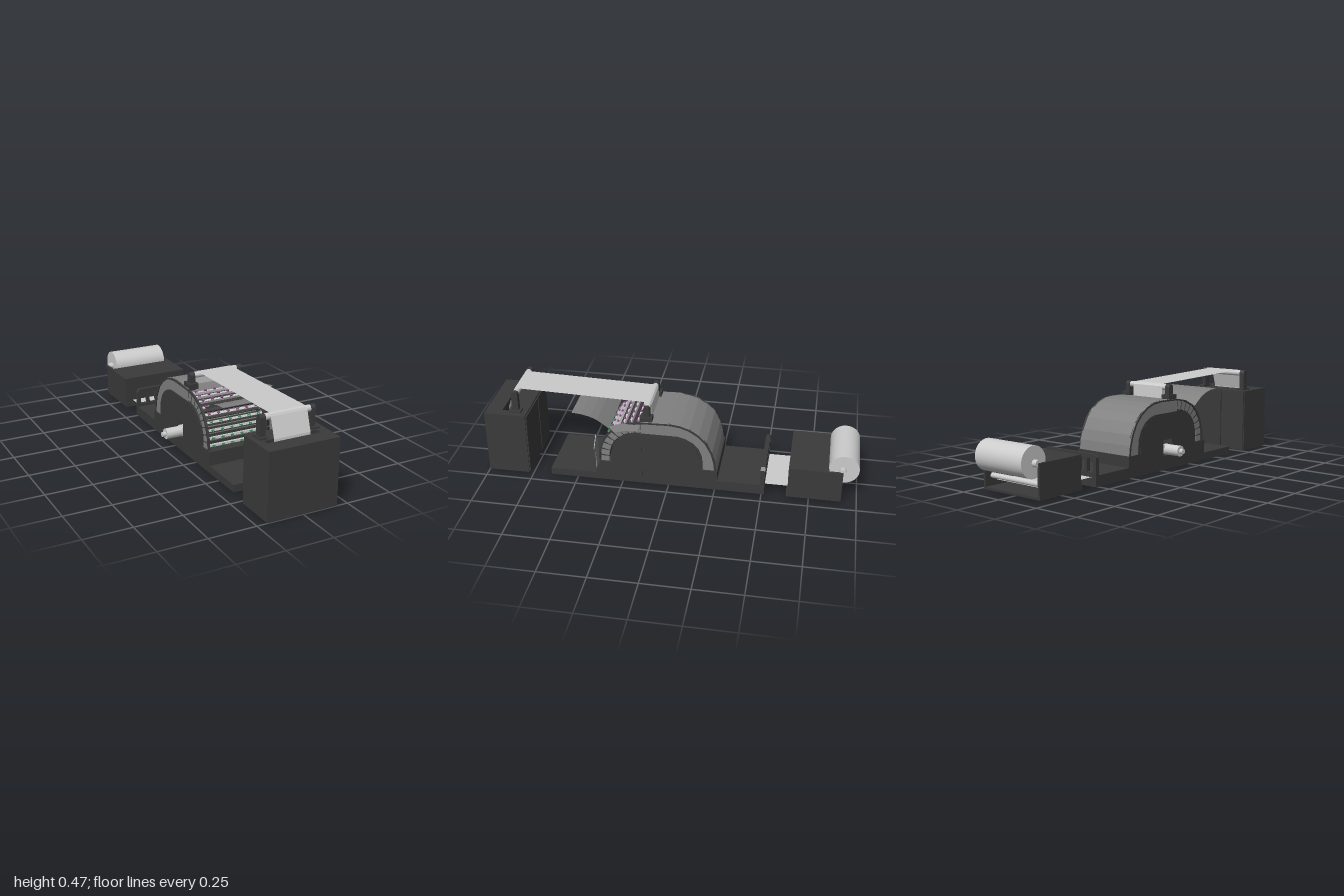
import * as THREE from 'three';

const mat = (color) => new THREE.MeshStandardMaterial({ color, side: THREE.DoubleSide, flatShading: true });

export function createModel() {
  const root = new THREE.Group();
  const dark = mat(0x3a3a3a), grey = mat(0xcccccc), smoke = mat(0x808080);
  const purple = mat(0x9a4a9a), green = mat(0x2f9a55);
  const smooth = new THREE.MeshStandardMaterial({ color: 0xcccccc });

  const add = (name, geo, m) => {
    const mesh = new THREE.Mesh(geo, m);
    mesh.name = name;
    root.add(mesh);
    return mesh;
  };
  // box from its limits
  const box = (name, x0, x1, y0, y1, z0, z1, m = dark) => {
    const b = add(name, new THREE.BoxGeometry(x1 - x0, y1 - y0, z1 - z0), m);
    b.position.set((x0 + x1) / 2, (y0 + y1) / 2, (z0 + z1) / 2);
    return b;
  };
  // cylinder lying along x
  const rod = (name, x0, x1, y, z, r, m = smooth, n = 28) => {
    const c = add(name, new THREE.CylinderGeometry(r, r, x1 - x0, n).rotateZ(Math.PI / 2), m);
    c.position.set((x0 + x1) / 2, y, z);
    return c;
  };
  const shapeOf = (pts) => new THREE.Shape(pts.map(([a, b]) => new THREE.Vector2(a, b)));
  const rectPath = (x0, x1, y0, y1) => shapeOf([[x0, y0], [x1, y0], [x1, y1], [x0, y1]]);
  // side profile (z, y) extruded from x0 to x1
  const slab = (name, shape, x0, x1, m = dark) => {
    const g = new THREE.ExtrudeGeometry(shape, { depth: x1 - x0, bevelEnabled: false, curveSegments: 10 });
    return add(name, g.rotateY(-Math.PI / 2).translate(x1, 0, 0), m);
  };
  // thin sheet following a (z, y) path
  const sheet = (name, pts, x0, x1, m) => {
    const g = new THREE.PlaneGeometry(1, 1, 1, pts.length - 1), p = g.attributes.position;
    pts.forEach(([z, y], i) => {
      p.setXYZ(2 * i, x0, y, z);
      p.setXYZ(2 * i + 1, x1, y, z);
    });
    g.computeVertexNormals();
    return add(name, g, m);
  };
  // upright bracket with a rounded top
  const post = (name, x0, x1, y0, top, z, r) => {
    const s = new THREE.Shape();
    s.moveTo(z + r, y0);
    s.lineTo(z + r, top - r);
    s.absarc(z, top - r, r, 0, Math.PI, false);
    s.lineTo(z - r, y0);
    slab(name, s, x0, x1);
  };

  // front collecting bin with a slot in its top
  const binTop = rectPath(-0.195, 0.19, -1, -0.775);
  binTop.holes.push(rectPath(-0.15, 0.14, -0.912, -0.88));
  add('frontBin', new THREE.ExtrudeGeometry(binTop, { depth: 0.34, bevelEnabled: false })
    .rotateX(-Math.PI / 2).translate(0, 0.018, 0), dark);
  box('frontBinBottom', -0.195, 0.19, 0.004, 0.018, 0.775, 1);
  for (const [a, b] of [[-0.19, -0.04], [-0.03, 0.185]]) box('frontBinBackPanel', a, b, 0.01, 0.35, 0.768, 0.775);

  // guide rollers and their brackets
  for (const [a, b, s] of [[-0.157, -0.127, -1], [0.12, 0.145, 1]]) {
    post('frontRollerPost', a, b, 0.35, 0.475, 0.838, 0.018);
    box('frontPostFoot', s < 0 ? -0.165 : 0.12, s < 0 ? -0.125 : 0.16, 0.355, 0.368, 0.805, 0.87);
  }
  rod('frontRoller', -0.13, 0.122, 0.457, 0.838, 0.017);
  for (const [a, b] of [[-0.15, -0.122], [0.128, 0.154]]) {
    post('topRollerPost', a, b, 0.36, 0.456, 0.122, 0.018);
    box('topPostFoot', a - 0.012, b + 0.012, 0.37, 0.4, 0.09, 0.155);
  }
  rod('topRoller', -0.125, 0.13, 0.438, 0.122, 0.016);

  // web of paper over the rollers
  sheet('paperWeb', [[0.1, 0.375], [0.104, 0.442], [0.112, 0.453], [0.122, 0.456], [0.838, 0.475],
    [0.85, 0.471], [0.856, 0.46], [0.89, 0.36], [0.895, 0.2]], -0.102, 0.097, grey);

  // base with stepped ends
  const X0 = -0.175, X1 = 0.183;
  slab('baseFront', shapeOf([[0.3, 0.003], [0.65, 0.003], [0.65, 0.043], [0.4, 0.043], [0.4, 0.118], [0.3, 0.118]]), X0, X1);
  slab('baseRear', shapeOf([[-0.17, 0.003], [-0.17, 0.118], [-0.262, 0.118], [-0.262, 0.06], [-0.515, 0.06], [-0.515, 0.003]]), X0, X1);

  // slotted guide gate at the back of the base
  const gate = rectPath(X0, X1, 0.055, 0.15);
  const gateTop = shapeOf([[X0, 0.055], [X1, 0.055], [X1, 0.15], [X1 - 0.015, 0.166], [X0 + 0.015, 0.166], [X0, 0.15]]);
  for (let i = 0; i < 6; i++) gateTop.holes.push(rectPath(X0 + 0.02 + i * 0.055, X0 + 0.06 + i * 0.055, 0.075, 0.145));
  add('guideGate', new THREE.ExtrudeGeometry(gateTop, { depth: 0.024, bevelEnabled: false }).translate(0, 0, -0.515), dark);

  // arched housing: outer and inner outlines as (z, y)
  const outerRear = [[0.15, 0.376], [0.0, 0.38], [-0.06, 0.373], [-0.11, 0.357], [-0.16, 0.325],
    [-0.2, 0.285], [-0.232, 0.225], [-0.248, 0.17], [-0.255, 0.115]];
  const outerFront = [[0.385, 0.115], [0.378, 0.18], [0.36, 0.24], [0.33, 0.29], [0.29, 0.33], [0.22, 0.362], [0.15, 0.376]];
  const innerRear = [[0.15, 0.3], [-0.04, 0.3], [-0.08, 0.29], [-0.12, 0.268], [-0.15, 0.235], [-0.168, 0.19], [-0.17, 0.115]];
  const innerFront = [[0.3, 0.115], [0.3, 0.18], [0.287, 0.225], [0.262, 0.26], [0.225, 0.287], [0.18, 0.298], [0.15, 0.3]];
  const inner = [...innerFront, ...innerRear.slice(1)], outer = [...outerFront, ...outerRear.slice(1)];
  const inset = (pts, k) => pts.map(([z, y]) => [0.065 + (z - 0.065) * (1 - k), 0.115 + (y - 0.115) * (1 - k)]);
  sheet('rearCover', outerRear, -0.168, 0.172, smoke);
  sheet('innerSkin', inner, -0.168, 0.172, smoke);
  const ring = [...outerRear, ...innerRear.slice().reverse()];
  const plate = [[0.3, 0.003], ...inner, [-0.17, 0.003]];
  for (const [a, b] of [[-0.17, -0.166], [0.17, 0.174]]) {
    slab('coverSide', shapeOf(ring), a, b, smoke);
    slab('outerRim', shapeOf([...outer, ...inset(outer, 0.03).reverse()]), a - 0.004, b + 0.004);
    slab('innerRim', shapeOf([...inset(inner, -0.05), ...inner.slice().reverse()]), a - 0.004, b + 0.004);
  }
  slab('sidePlate', shapeOf(plate), 0.165, X1);
  for (const z of [0.145, -0.01]) box('plateSeam', X1, X1 + 0.002, 0.01, z > 0 ? 0.27 : 0.295, z - 0.002, z + 0.002);

  // far side plate with a window for the drive shaft
  const windowPlate = shapeOf(plate);
  windowPlate.holes.push(rectPath(0.025, 0.1, 0.08, 0.165));
  slab('windowPlate', windowPlate, X0, -0.162);
  box('driveMount', -0.172, -0.14, 0.09, 0.135, 0.035, 0.09, grey);
  rod('driveMotor', -0.262, -0.165, 0.111, 0.063, 0.029, smooth, 20);
  rod('driveTip', -0.281, -0.262, 0.111, 0.063, 0.014, smooth, 16);

  // tool rows under the open front of the arch
  const mid = new THREE.CatmullRomCurve3(outerFront.map(([z, y], i) =>
    new THREE.Vector3(0, y * 0.6 + innerFront[i][1] * 0.4, z * 0.6 + innerFront[i][0] * 0.4)));
  for (let i = 0; i < 9; i++) {
    const t = (i + 0.5) / 9, p = mid.getPointAt(t), d = mid.getTangentAt(t);
    const row = new THREE.Group();
    row.name = 'toolRow';
    row.position.copy(p);
    row.rotation.x = Math.atan2(-d.z, d.y) * -1;
    const part = (name, w, h, dep, x, z, m, y = 0) => {
      const b = new THREE.Mesh(new THREE.BoxGeometry(w, h, dep), m);
      b.name = name;
      b.position.set(x, y, z);
      row.add(b);
    };
    part('toolRail', 0.325, 0.012, 0.014, 0.002, 0.01, grey);
    part('toolBack', 0.33, 0.03, 0.01, 0.002, -0.012, dark);
    for (const x of [-0.166, 0.17]) {
      part('railEnd', 0.006, 0.032, 0.045, x, -0.004, smoke);
      part('endRib', 0.008, 0.004, 0.06, x, -0.002, dark, 0.018);
    }
    for (let k = 0; k < 6; k++) part('toolTip', 0.014, 0.008, 0.01, -0.135 + k * 0.055, 0.02, i < 4 ? green : purple);
    root.add(row);
  }

  // opened front cover and swung-out side panels
  sheet('openFrontCover', [[0.32, 0.32], [0.35, 0.342], [0.385, 0.366], [0.42, 0.382], [0.47, 0.394], [0.52, 0.398]], -0.165, 0.172, smoke);
  const flap = shapeOf([[0.19, 0.113], [0.245, 0.113], [0.243, 0.16], [0.253, 0.215], [0.278, 0.257],
    [0.23, 0.312], [0.19, 0.253]]);
  add('lowerSidePanel', new THREE.ExtrudeGeometry(flap, { depth: 0.004, bevelEnabled: false }).translate(0, 0, 0.376), smoke);
  const flapTop = shapeOf([[0.176, -0.15], [0.235, -0.15], [0.243, -0.21], [0.272, -0.265], [0.218, -0.31], [0.176, -0.25]]);
  add('upperSidePanel', new THREE.ExtrudeGeometry(flapTop, { depth: 0.004, bevelEnabled: false })
    .rotateX(-Math.PI / 2).translate(0, 0.357, 0), smoke);

  // rear feeder: open-backed box with a paper roll
  const F0 = -0.19, F1 = 0.195;
  box('feederTop', F0, F1, 0.178, 0.188, -0.845, -0.637);
  box('feederFloor', F0, F1, 0.012, 0.024, -0.918, -0.637);
  box('feederFront', F0, F1, 0.012, 0.188, -0.65, -0.637);
  box('feederLip', F0, F1, 0.012, 0.035, -0.65, -0.63);
  for (const x of [F0, F1 - 0.012]) box('feederSide', x, x + 0.012, 0.012, 0.188, -0.918, -0.637);
  rod('paperRoll', -0.156, 0.16, 0.19, -0.921, 0.079, smooth, 48);
  rod('rollAxle', -0.182, 0.187, 0.185, -0.915, 0.018);
  rod('feedRod', F0 + 0.01, F1 - 0.01, 0.075, -0.87, 0.014);
  sheet('feedPaper', [[-0.88, 0.061], [-0.64, 0.05], [-0.5, 0.05]], -0.145, 0.15, grey);

  return root;
}
